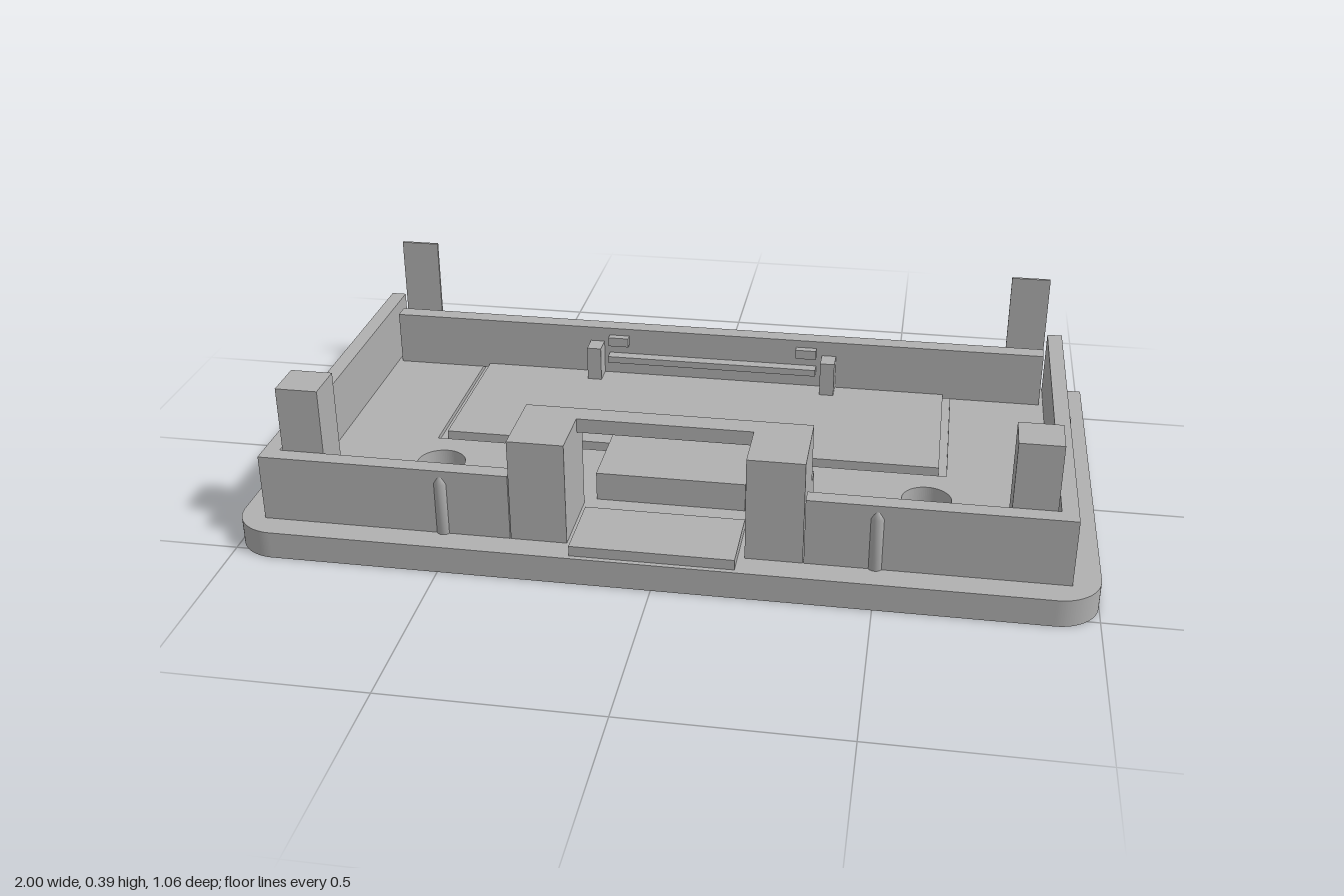
import * as THREE from 'three';

export function createModel() {
  const root = new THREE.Group();
  root.name = 'enclosureBase';
  const grey = new THREE.MeshStandardMaterial({ color: 0xb0b0b0 });
  grey.name = 'plastic grey';

  const add = (name, geo) => {
    const mesh = new THREE.Mesh(geo, grey);
    mesh.name = name;
    root.add(mesh);
    return mesh;
  };
  // box given by its limits on each axis
  const box = (name, x0, x1, y0, y1, z0, z1) =>
    add(name, new THREE.BoxGeometry(x1 - x0, y1 - y0, z1 - z0))
      .position.set((x0 + x1) / 2, (y0 + y1) / 2, (z0 + z1) / 2);
  // the same box on both sides
  const pair = (name, x0, x1, ...rest) => {
    box(name + 'Left', x0, x1, ...rest);
    box(name + 'Right', -x1, -x0, ...rest);
  };

  const FLOOR = 0.067, GROOVE = 0.055, BACK = -0.53, FRONT = 0.53;

  // keyhole: a large circle with a narrow rounded slot towards the back
  const keyhole = (cx) => {
    const R = 0.115, r = 0.06, big = -0.297, small = -0.13;
    const a = Math.acos(r / R);
    const p = new THREE.Path();
    p.absarc(cx, small, r, 0, Math.PI, false);
    p.absarc(cx, big, R, Math.PI - a, a + Math.PI * 2, false);
    p.closePath();
    return p;
  };

  // plate layer with rounded front corners; the upper layer leaves the panel bay open
  const plate = (name, y0, y1, bay) => {
    const r = 0.1, s = new THREE.Shape();
    s.moveTo(-1, -BACK);
    s.lineTo(-1, -FRONT + r);
    s.absarc(-1 + r, -FRONT + r, r, Math.PI, Math.PI * 1.5, false);
    s.absarc(1 - r, -FRONT + r, r, Math.PI * 1.5, Math.PI * 2, false);
    s.lineTo(1, -BACK);
    if (bay) {
      s.lineTo(0.65, -BACK);
      s.lineTo(0.65, -0.008);
      s.lineTo(-0.65, -0.008);
      s.lineTo(-0.65, -BACK);
    }
    s.closePath();
    s.holes.push(keyhole(-0.605), keyhole(0.605));
    const g = new THREE.ExtrudeGeometry(s, { depth: y1 - y0, bevelEnabled: false, curveSegments: 20 });
    g.rotateX(-Math.PI / 2);
    g.translate(0, y0, 0);
    add(name, g);
  };
  plate('lowerPlate', 0, GROOVE, false);
  plate('upperPlate', GROOVE, FLOOR, true);
  box('bayPanel', -0.63, 0.63, GROOVE, 0.078, BACK, -0.013);

  // walls
  pair('sideWall', 0.897, 0.935, FLOOR, 0.23, BACK, 0.465);
  pair('frontWall', 0.34, 0.897, FLOOR, 0.23, 0.425, 0.465);
  box('backWall', -0.886, 0.886, FLOOR, 0.21, -0.475, -0.43);

  // corner pillars and thin rear tabs
  pair('frontPillar', 0.79, 0.89, FLOOR, 0.39, 0.323, 0.425);
  pair('rearTab', 0.79, 0.89, FLOOR, 0.39, BACK, BACK + 0.008);

  // front bridge
  pair('bridgeLeg', 0.206, 0.338, FLOOR, 0.32, 0.275, 0.465);
  box('bridgeBar', -0.206, 0.206, 0.285, 0.32, 0.275, 0.33);

  // raised blocks on the floor
  box('centreBlock', -0.18, 0.18, FLOOR, 0.138, 0.024, 0.254);
  box('frontTongue', -0.19, 0.19, FLOOR, 0.092, 0.337, 0.518);

  // locating posts, rear rail and clips
  pair('frontPost', 0.3, 0.338, FLOOR, 0.17, 0.22, 0.275);
  pair('rearPost', 0.3, 0.338, FLOOR, 0.17, -0.43, -0.377);
  box('rearRail', -0.285, 0.285, 0.12, 0.138, -0.43, -0.4);
  pair('rearClip', 0.23, 0.285, 0.165, 0.19, -0.43, -0.41);

  // snap ribs: slim rounded bars with pointed tops, half sunk into the walls
  const rib = (name, x, z) => {
    const profile = [[0, 0], [0.017, 0], [0.017, 0.13], [0.005, 0.153], [0, 0.153]]
      .map(([r, y]) => new THREE.Vector2(r, y));
    add(name, new THREE.LatheGeometry(profile, 16)).position.set(x, FLOOR, z);
  };
  for (const [side, s] of [['Left', 1], ['Right', -1]]) {
    rib('frontRib' + side, s * 0.5, 0.457);
    rib('sideRib' + side, s * 0.927, -0.1);
  }

  return root;
}
